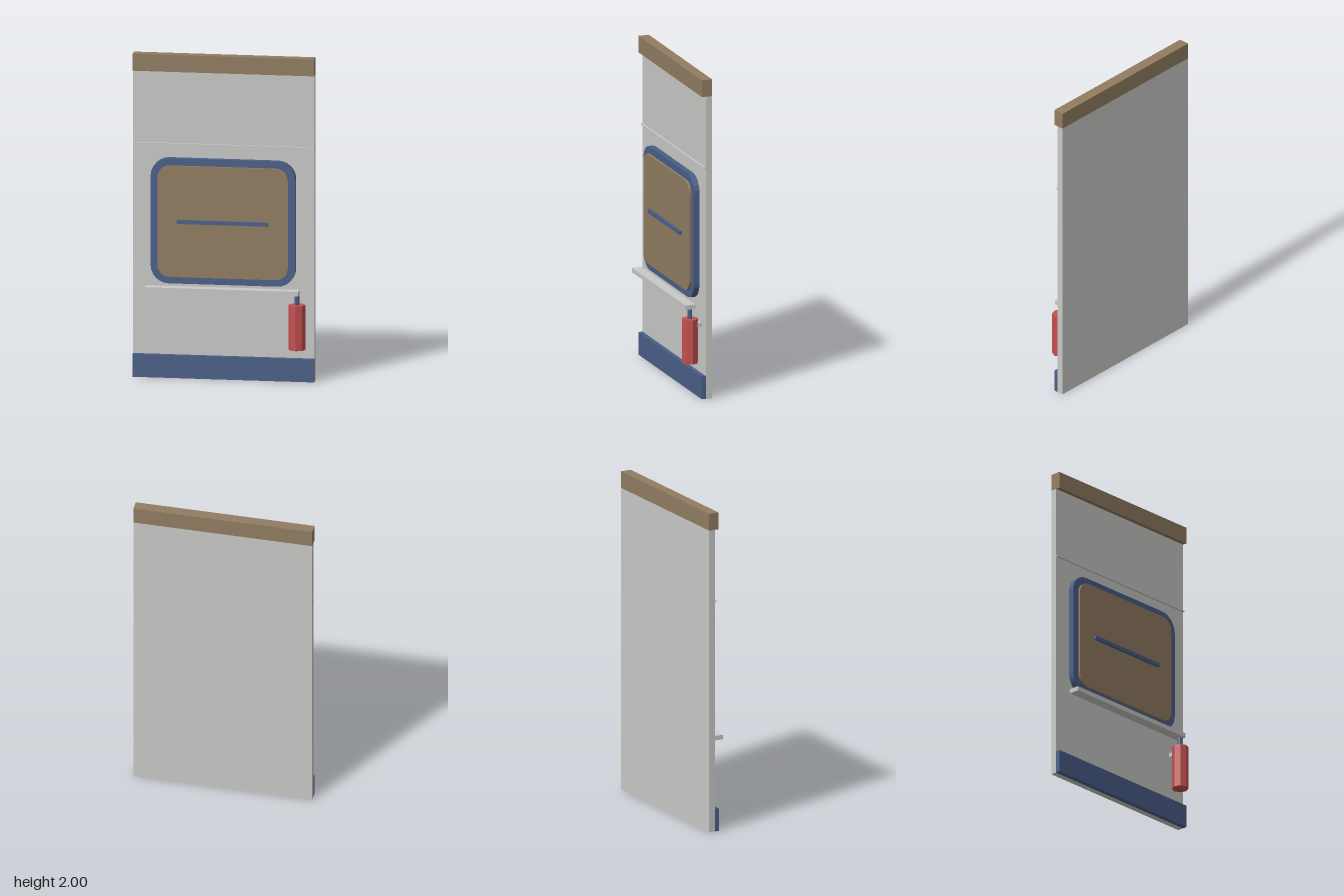
import * as THREE from 'three';

const material = (name, color) => {
  const m = new THREE.MeshStandardMaterial({ color });
  m.name = name;
  return m;
};

export function createModel() {
  const group = new THREE.Group();
  const grey = material('lightGrey', 0xc9c9c7);
  const brown = material('tan', 0x927d61);
  const blue = material('slateBlue', 0x4a5f88);
  const red = material('red', 0xc4504f);

  const add = (name, geometry, mat) => {
    const mesh = new THREE.Mesh(geometry, mat);
    mesh.name = name;
    group.add(mesh);
    return mesh;
  };

  // Box given by its lower and upper limits on each axis
  const box = (name, mat, [x0, x1], [y0, y1], [z0, z1]) =>
    add(name, new THREE.BoxGeometry(x1 - x0, y1 - y0, z1 - z0), mat)
      .position.set((x0 + x1) / 2, (y0 + y1) / 2, (z0 + z1) / 2);

  // Rounded rectangular slab, w and h are half sizes
  const slab = (name, mat, w, h, r, y, z0, z1) => {
    const s = new THREE.Shape();
    s.absarc(w - r, h - r, r, 0, Math.PI / 2);
    s.absarc(r - w, h - r, r, Math.PI / 2, Math.PI);
    s.absarc(r - w, r - h, r, Math.PI, Math.PI * 1.5);
    s.absarc(w - r, r - h, r, Math.PI * 1.5, Math.PI * 2);
    s.closePath();
    const geometry = new THREE.ExtrudeGeometry(s, { depth: z1 - z0, bevelEnabled: false, curveSegments: 3 });
    add(name, geometry, mat).position.set(0, y, z0);
  };

  // Eight-sided upright post
  const post = (name, mat, r, y0, y1) => {
    const geometry = new THREE.CylinderGeometry(r, r, y1 - y0, 8).toNonIndexed();
    geometry.computeVertexNormals();
    add(name, geometry, mat).position.set(0.458, (y0 + y1) / 2, 0.03);
  };

  // Wall panel with head beam, kick plate and seam
  const full = [-0.555, 0.555];
  box('wallPanel', grey, full, [0, 1.895], [-0.078, -0.038]);
  box('headBeam', brown, full, [1.895, 2], [-0.078, -0.012]);
  box('kickPlate', blue, full, [0, 0.142], [-0.04, -0.011]);
  box('seamStrip', grey, full, [1.442, 1.45], [-0.038, -0.026]);

  // Framed hatch with its handle
  slab('hatchFrame', blue, 0.443, 0.387, 0.11, 0.975, -0.038, -0.001);
  slab('hatchDoor', brown, 0.4, 0.344, 0.075, 0.975, -0.001, 0.014);
  box('hatchHandle', blue, [-0.279, 0.279], [0.964, 0.987], [0.014, 0.031]);

  // Shelf and the canister below it
  box('shelf', grey, [-0.47, 0.47], [0.545, 0.573], [-0.002, 0.063]);
  post('canister', red, 0.051, 0.209, 0.486);
  post('canisterNeck', blue, 0.015, 0.486, 0.545);
  box('canisterBracket', grey, [0.433, 0.483], [0.432, 0.46], [-0.038, 0]);

  return group;
}
